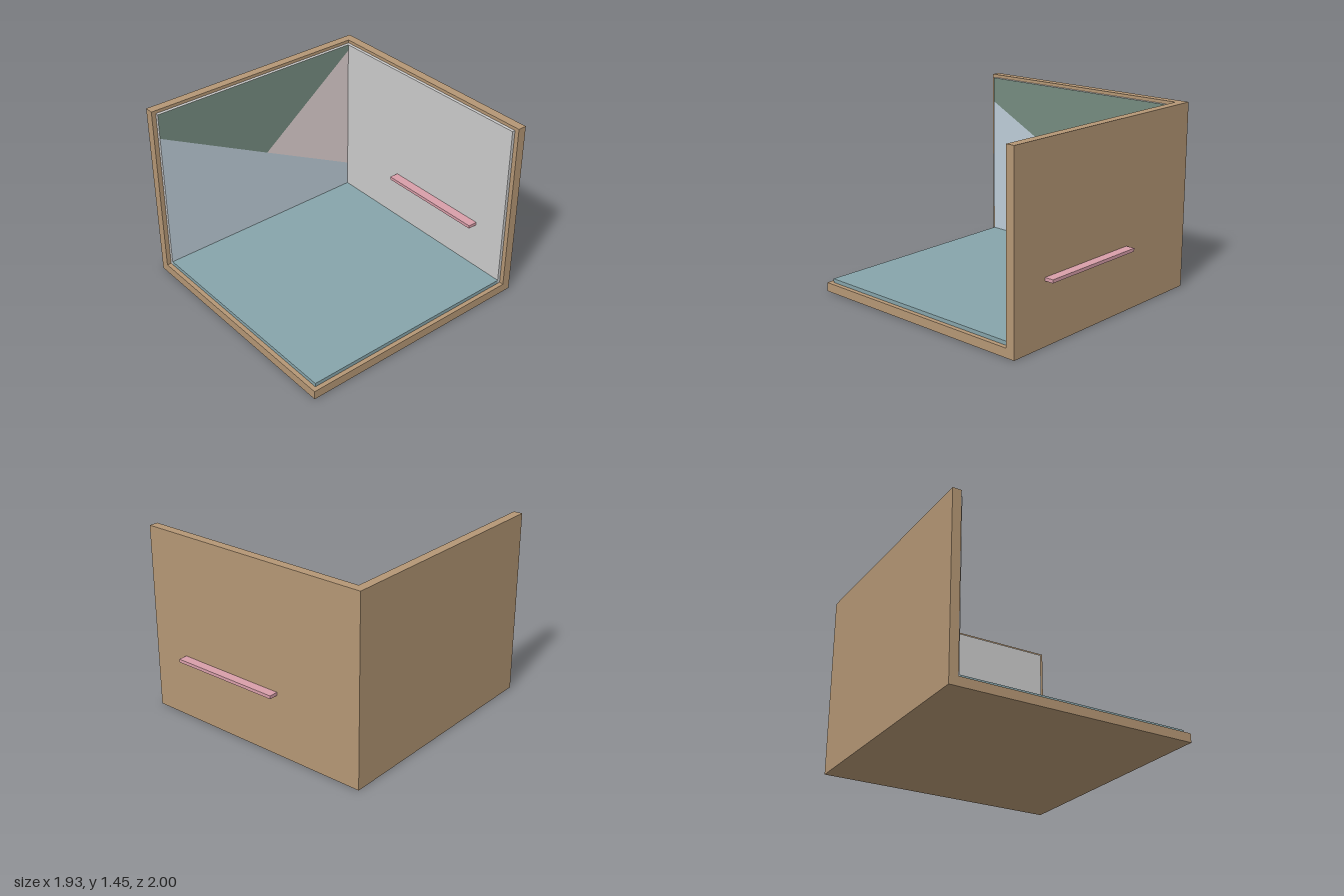
import * as THREE from 'three';

const paint = (color) => new THREE.MeshStandardMaterial({ color });

// Box given by its lower and upper corners
function slab(name, material, [x0, y0, z0], [x1, y1, z1]) {
  const mesh = new THREE.Mesh(new THREE.BoxGeometry(x1 - x0, y1 - y0, z1 - z0), material);
  mesh.position.set((x0 + x1) / 2, (y0 + y1) / 2, (z0 + z1) / 2);
  mesh.name = name;
  return mesh;
}

// Flat painted area on the side wall, outlined by [z, y] points, facing +x
function wallPaint(name, color, x, points) {
  const shape = new THREE.Shape(points.map(([z, y]) => new THREE.Vector2(-z, y)));
  const mesh = new THREE.Mesh(new THREE.ShapeGeometry(shape).rotateY(Math.PI / 2), paint(color));
  mesh.position.x = x;
  mesh.name = name;
  return mesh;
}

export function createModel() {
  const room = new THREE.Group();
  room.name = 'room';
  const wood = paint(0xb59775);
  const grey = paint(0xcccccc);

  // Wooden outer shell: base and two walls
  room.add(
    slab('base', wood, [-0.895, 0, -0.86], [0.965, 0.07, 1]),
    slab('sideWall', wood, [-0.965, 0, -0.86], [-0.895, 1.45, 1]),
    slab('backWall', wood, [-0.965, 0, -0.93], [0.965, 1.45, -0.86]),
  );

  // Inner linings and floor, set back from the outer edges
  room.add(
    slab('sidePanel', grey, [-0.895, 0.07, -0.835], [-0.87, 1.425, 0.965]),
    slab('backPanel', grey, [-0.895, 0.07, -0.86], [0.93, 1.425, -0.835]),
    slab('floor', paint(0x87a5ab), [-0.87, 0.07, -0.835], [0.93, 0.1, 0.965]),
  );

  // Three painted fields meeting at one point on the side panel
  const front = 0.965, back = -0.835, top = 1.425, x = -0.868;
  const centre = [0.01, 0.735], frontEdge = [front, 1.225];
  const upperBack = [back, 1.375], lowerBack = [back, 0.305];
  room.add(
    wallPaint('upperPaint', 0x758c80, x, [frontEdge, centre, upperBack, [back, top], [front, top]]),
    wallPaint('backPaint', 0xe0d2d2, x, [centre, lowerBack, upperBack]),
    wallPaint('lowerPaint', 0xbdcdd8, x, [[front, 0.1], [back, 0.1], lowerBack, centre, frontEdge]),
  );

  // Shelf passing through the back wall
  room.add(slab('shelf', paint(0xd99faa), [-0.24, 0.475, -1], [0.66, 0.5, -0.76]));

  return room;
}
